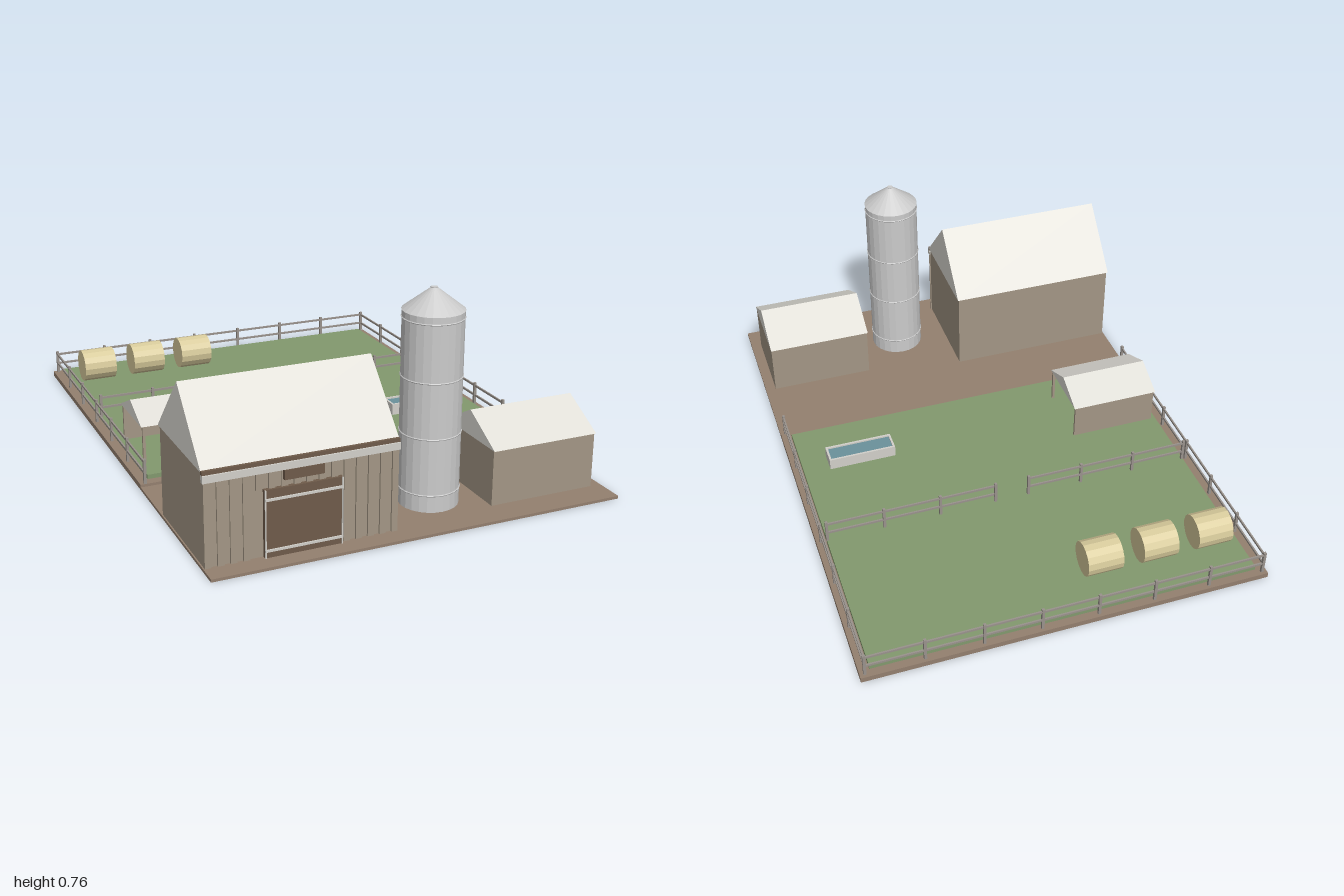
import * as THREE from 'three';

const mat = (color, extra = {}) => {
  const m = new THREE.MeshStandardMaterial(extra);
  m.color.set(color);
  return m;
};
const soil = mat(0x94806f), grass = mat(0x82996e), wood = mat(0xa39685), darkWood = mat(0x6f5b4a);
const roofing = mat(0xdfddd6), steel = mat(0xc4c6c5, { flatShading: true }), rail = mat(0x99928c);
const hay = mat(0xd8cb9c, { flatShading: true }), water = mat(0x6b919b), trim = mat(0xd2d0ca);

function add(parent, name, geometry, material, x = 0, y = 0, z = 0) {
  const mesh = new THREE.Mesh(geometry, material);
  mesh.name = name;
  mesh.position.set(x, y, z);
  parent.add(mesh);
  return mesh;
}

// Box given by its minimum and maximum corners
function box(parent, name, material, [x0, y0, z0], [x1, y1, z1]) {
  return add(parent, name, new THREE.BoxGeometry(x1 - x0, y1 - y0, z1 - z0), material,
    (x0 + x1) / 2, (y0 + y1) / 2, (z0 + z1) / 2);
}

// Solid gable roof with its ridge along x
function gableRoof(parent, name, x0, x1, z0, z1, eave, ridge) {
  const shape = new THREE.Shape([
    new THREE.Vector2(-z1, eave), new THREE.Vector2(-z0, eave), new THREE.Vector2(-(z0 + z1) / 2, ridge)]);
  const geo = new THREE.ExtrudeGeometry(shape, { depth: x1 - x0, bevelEnabled: false });
  geo.rotateY(Math.PI / 2);
  return add(parent, name, geo, roofing, x0, 0, 0);
}

function group(parent, name) {
  const g = new THREE.Group();
  g.name = name;
  parent.add(g);
  return g;
}

// Straight fence: evenly spaced posts and two rails
function fence(parent, name, from, to, base, count) {
  const g = group(parent, name);
  const a = new THREE.Vector3(from[0], base, from[1]), b = new THREE.Vector3(to[0], base, to[1]);
  for (let i = 0; i <= count; i++) {
    const p = a.clone().lerp(b, i / count);
    add(g, 'fencePost', new THREE.BoxGeometry(0.01, 0.092, 0.01), rail, p.x, base + 0.046, p.z);
  }
  const dx = Math.abs(b.x - a.x), dz = Math.abs(b.z - a.z);
  for (const h of [0.04, 0.08]) {
    add(g, 'fenceRail', new THREE.BoxGeometry(Math.max(dx, 0.006), 0.008, Math.max(dz, 0.006)), rail,
      (a.x + b.x) / 2, base + h, (a.z + b.z) / 2);
  }
}

function buildBarn(parent) {
  const g = group(parent, 'barn');
  box(g, 'barnWalls', wood, [-0.735, 0.01, 0.515], [-0.08, 0.33, 0.925]);
  gableRoof(g, 'barnRoof', -0.74, -0.075, 0.51, 0.93, 0.33, 0.55);
  // Vertical boards on the front, skipping the doorway
  for (let i = 0; i < 16; i++) {
    const x = -0.727 + i * 0.0425;
    const bottom = x > -0.56 && x < -0.27 ? 0.24 : 0.01;
    box(g, 'frontBoard', wood, [x - 0.008, bottom, 0.925], [x + 0.014, 0.32, 0.932]);
  }
  box(g, 'eaveBeam', darkWood, [-0.74, 0.32, 0.925], [-0.075, 0.335, 0.936]);
  box(g, 'eaveTrim', trim, [-0.74, 0.298, 0.925], [-0.075, 0.322, 0.942]);
  // Sliding door with its frame and cross strips
  box(g, 'barnDoor', darkWood, [-0.54, 0.01, 0.925], [-0.275, 0.24, 0.94]);
  for (const y of [0.035, 0.207]) box(g, 'doorStrip', trim, [-0.54, y - 0.004, 0.94], [-0.275, y + 0.004, 0.945]);
  for (const x of [-0.54, -0.279]) box(g, 'doorSide', trim, [x, 0.01, 0.94], [x + 0.004, 0.24, 0.944]);
  box(g, 'loftHatch', darkWood, [-0.475, 0.265, 0.925], [-0.34, 0.298, 0.945]);
}

function buildSilo(parent) {
  const g = group(parent, 'silo');
  g.position.set(0.127, 0, 0.765);
  add(g, 'siloBody', new THREE.CylinderGeometry(0.104, 0.104, 0.68, 24), steel, 0, 0.35, 0);
  add(g, 'siloRoof', new THREE.CylinderGeometry(0.012, 0.106, 0.072, 24), steel, 0, 0.726, 0);
  add(g, 'siloCap', new THREE.CylinderGeometry(0.012, 0.012, 0.006, 12), steel, 0, 0.762, 0);
  for (const y of [0.07, 0.27, 0.465, 0.665]) {
    add(g, 'siloBand', new THREE.TorusGeometry(0.104, 0.003, 6, 24).rotateX(Math.PI / 2), steel, 0, y, 0);
  }
}

function buildShed(parent) {
  const g = group(parent, 'shed');
  box(g, 'shedWalls', wood, [0.3, 0.01, 0.58], [0.7, 0.21, 0.895]);
  gableRoof(g, 'shedRoof', 0.298, 0.702, 0.572, 0.903, 0.21, 0.302);
}

// Open-sided animal shelter with a rear wall and front posts
function buildShelter(parent) {
  const g = group(parent, 'shelter');
  box(g, 'shelterBackWall', wood, [-0.685, 0.03, -0.112], [-0.355, 0.175, -0.102]);
  for (const x of [-0.68, -0.36]) box(g, 'shelterPost', wood, [x - 0.005, 0.03, 0.131], [x + 0.005, 0.175, 0.141]);
  gableRoof(g, 'shelterRoof', -0.69, -0.35, -0.118, 0.143, 0.175, 0.235);
}

function buildTrough(parent) {
  const g = group(parent, 'trough');
  const [x0, x1, z0, z1, t] = [0.345, 0.603, -0.003, 0.077, 0.008];
  for (const z of [z0, z1 - t]) box(g, 'troughLongSide', trim, [x0, 0.03, z], [x1, 0.08, z + t]);
  for (const x of [x0, x1 - t]) box(g, 'troughEnd', trim, [x, 0.03, z0 + t], [x + t, 0.08, z1 - t]);
  box(g, 'troughWater', water, [x0 + t, 0.03, z0 + t], [x1 - t, 0.074, z1 - t]);
}

export function createModel() {
  const farm = new THREE.Group();
  farm.name = 'farmyard';

  // Ground, raised pasture border and grass
  box(farm, 'ground', soil, [-0.74, 0, -1], [0.74, 0.01, 1]);
  box(farm, 'pastureBorder', soil, [-0.74, 0.01, -1], [0.74, 0.02, 0.28]);
  box(farm, 'grass', grass, [-0.703, 0.02, -0.97], [0.703, 0.036, 0.243]);

  buildBarn(farm);
  buildSilo(farm);
  buildShed(farm);
  buildShelter(farm);
  buildTrough(farm);

  // Round hay bales lying along x
  for (const x of [-0.597, -0.387, -0.177]) {
    add(farm, 'hayBale', new THREE.CylinderGeometry(0.064, 0.064, 0.132, 16).rotateZ(Math.PI / 2), hay, x, 0.1, -0.8);
  }

  // Fences on three sides, and a divider with a gap
  for (const x of [-0.722, 0.722]) fence(farm, 'sideFence', [x, 0.275], [x, -0.985], 0.02, 6);
  fence(farm, 'backFence', [-0.722, -0.985], [0.722, -0.985], 0.02, 7);
  fence(farm, 'dividerLeft', [0.06, -0.367], [0.7, -0.367], 0.032, 3);
  fence(farm, 'dividerRight', [-0.7, -0.367], [-0.07, -0.367], 0.032, 3);
  return farm;
}
